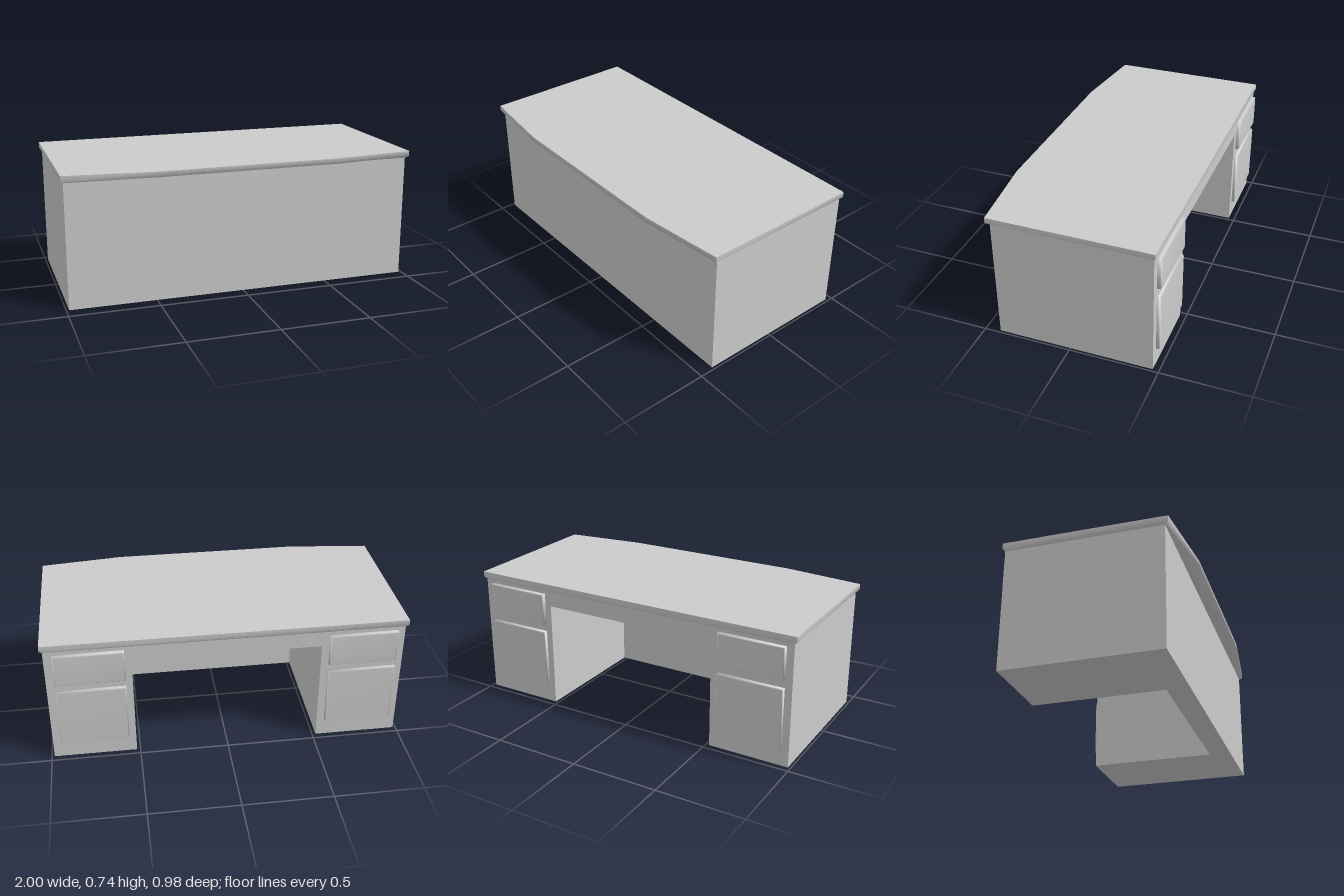
import * as THREE from 'three';

const material = new THREE.MeshStandardMaterial({ color: 0xcccccc });
const BODY_X = 0.985, BODY_FRONT = 0.415, BODY_BACK = -0.465, BODY_TOP = 0.7;
const KNEE_X = 0.52, KNEE_FRONT = 0.287, KNEE_TOP = 0.61;

function addMesh(parent, name, geometry) {
  const mesh = new THREE.Mesh(geometry, material);
  mesh.name = name;
  parent.add(mesh);
  return mesh;
}

// Shape drawn in plan from [x, z] points
const planShape = (pts) => new THREE.Shape(pts.map(([x, z]) => new THREE.Vector2(x, -z)));

// Skin over rings of equally many points, smooth where rows share vertices
function skin(rings, closed, capped) {
  const n = rings[0].length, index = [];
  for (let r = 0; r < rings.length - 1; r++) {
    for (let i = 0; i < (closed ? n : n - 1); i++) {
      const a = r * n + i, b = r * n + (i + 1) % n;
      index.push(a, b, b + n, a, b + n, a + n);
    }
  }
  if (capped) {
    const s = (rings.length - 1) * n;
    for (let i = 1; i < n - 1; i++) index.push(s, s + i, s + i + 1);
  }
  const geo = new THREE.BufferGeometry();
  geo.setAttribute('position', new THREE.Float32BufferAttribute(rings.flat(2), 3));
  geo.setIndex(index);
  geo.computeVertexNormals();
  return geo;
}

// Drawer front with a small bevel, facing the back (-z)
function drawerGeometry(w, h, depth, bevel) {
  const ring = (inset, z) => {
    const x = w / 2 - inset, y = h / 2 - inset;
    return [[x, -y, z], [-x, -y, z], [-x, y, z], [x, y, z]];
  };
  return skin([ring(0, 0), ring(0, -depth + bevel), ring(bevel, -depth)], true, true);
}

export function createModel() {
  const desk = new THREE.Group();
  desk.name = 'desk';

  // Two pedestals joined by the front panel, open at the back for the knees
  const base = new THREE.ExtrudeGeometry(planShape([
    [-BODY_X, BODY_FRONT], [BODY_X, BODY_FRONT], [BODY_X, BODY_BACK], [KNEE_X, BODY_BACK],
    [KNEE_X, KNEE_FRONT], [-KNEE_X, KNEE_FRONT], [-KNEE_X, BODY_BACK], [-BODY_X, BODY_BACK],
  ]), { depth: KNEE_TOP, bevelEnabled: false });
  addMesh(desk, 'pedestalsAndFrontPanel', base.rotateX(-Math.PI / 2));

  // Upper carcass bridging the kneehole
  const rail = addMesh(desk, 'upperCarcass', new THREE.BoxGeometry(
    2 * BODY_X, BODY_TOP - KNEE_TOP, BODY_FRONT - BODY_BACK));
  rail.position.set(0, (BODY_TOP + KNEE_TOP) / 2, (BODY_FRONT + BODY_BACK) / 2);

  // Desktop with a bowed front edge and an underside sloping in to the body
  const top = new THREE.Group();
  top.name = 'desktop';
  desk.add(top);
  const outer = [[-1, 0.435], [-0.53, 0.488], [0.53, 0.488], [1, 0.435], [1, -0.475], [-1, -0.475]];
  const inner = [[-BODY_X, BODY_FRONT], [-0.53, BODY_FRONT], [0.53, BODY_FRONT],
    [BODY_X, BODY_FRONT], [BODY_X, BODY_BACK], [-BODY_X, BODY_BACK]];
  const surface = new THREE.ShapeGeometry(planShape(outer)).rotateX(-Math.PI / 2);
  addMesh(top, 'desktopSurface', surface.translate(0, 0.743, 0));
  const edges = { frontEdge: [0, 1, 2, 3], leftEdge: [3, 4], backEdge: [4, 5], rightEdge: [5, 0] };
  for (const [name, ids] of Object.entries(edges)) {
    const row = (pts, y) => ids.map((i) => [pts[i][0], y, pts[i][1]]);
    addMesh(top, name, skin([row(inner, BODY_TOP), row(outer, 0.712), row(outer, 0.743)], false, false));
  }

  // A shallow drawer over a deep one on each pedestal
  for (const [side, x] of [['left', 0.748], ['right', -0.754]]) {
    addMesh(desk, side + 'UpperDrawer', drawerGeometry(0.38, 0.186, 0.025, 0.007))
      .position.set(x, 0.587, BODY_BACK);
    addMesh(desk, side + 'LowerDrawer', drawerGeometry(0.38, 0.347, 0.022, 0.007))
      .position.set(x, 0.276, BODY_BACK);
  }
  return desk;
}
